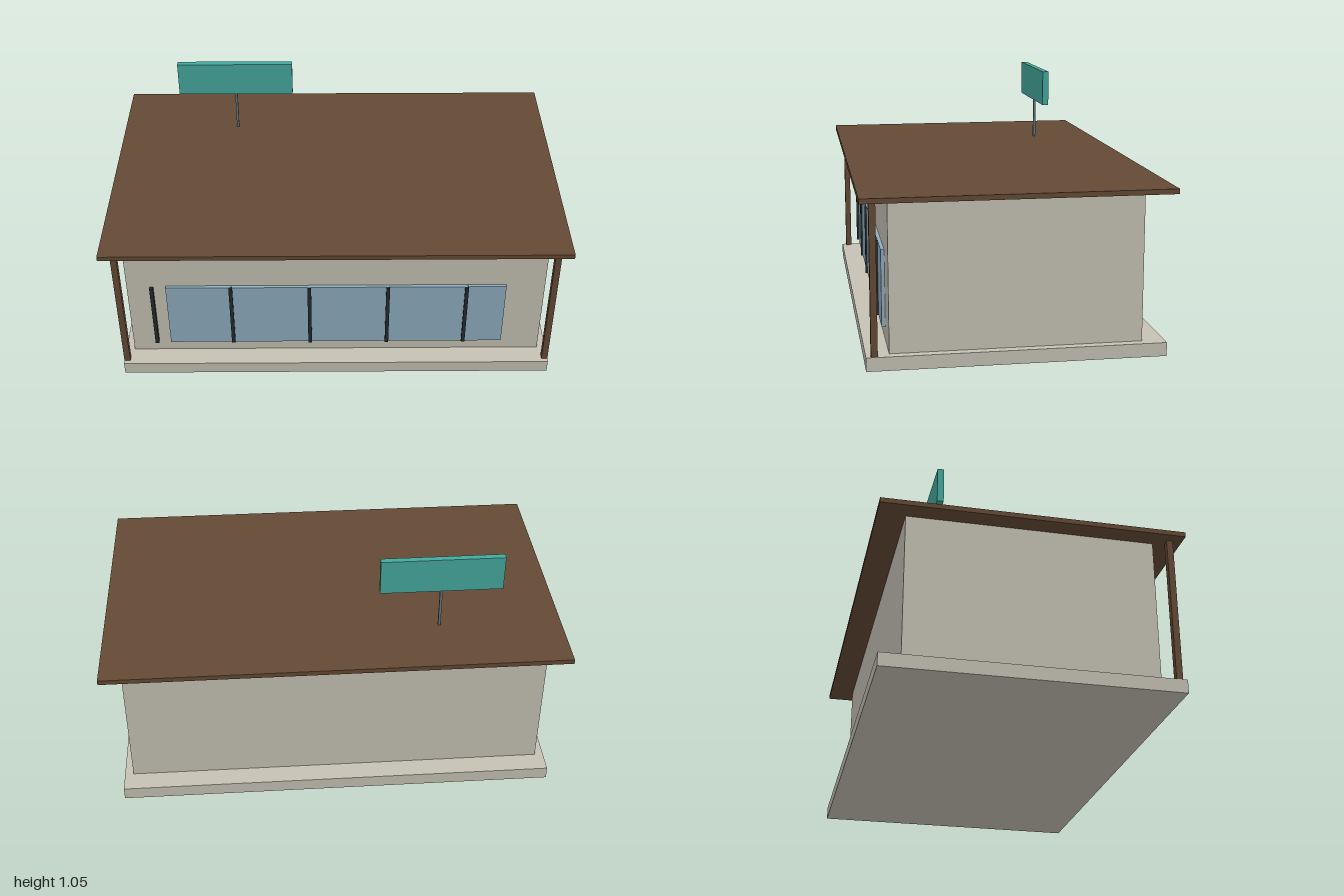
import * as THREE from 'three';

const paint = (name, color) => {
  const m = new THREE.MeshStandardMaterial({ color });
  m.name = name;
  return m;
};

export function createModel() {
  const plaster = paint('plaster', 0xc5c1b4);
  const timber = paint('brown timber', 0x654a35);
  const glass = paint('blue glass', 0x8eacbe);
  const frame = paint('dark frame', 0x232b2d);
  const teal = paint('teal sign', 0x45a99e);
  const steel = paint('grey steel', 0x66757f);

  const model = new THREE.Group();
  model.name = 'shopBuilding';

  // Box given by its size, centre x and z, and underside height
  const box = (name, material, w, h, d, x, y, z) => {
    const mesh = new THREE.Mesh(new THREE.BoxGeometry(w, h, d), material);
    mesh.name = name;
    mesh.position.set(x, y + h / 2, z);
    model.add(mesh);
  };

  // Main building
  box('plinth', plaster, 1.91, 0.057, 1.22, 0, 0, 0);
  box('walls', plaster, 1.834, 0.623, 1.032, 0, 0.057, 0);
  box('roof', timber, 2, 0.021, 1.26, 0, 0.68, 0);

  // Front porch posts
  for (const side of [-1, 1]) {
    box(side > 0 ? 'leftPost' : 'rightPost', timber, 0.027, 0.623, 0.027, side * 0.942, 0.057, 0.577);
  }

  // Shop window with evenly spaced mullions
  box('shopWindow', glass, 1.492, 0.324, 0.02, 0, 0.115, 0.521);
  for (let i = 0; i < 5; i++) {
    box('mullion', frame, 0.016, 0.324, 0.016, -0.807 + i * 0.345, 0.115, 0.531);
  }

  // Roof sign
  box('signPole', steel, 0.011, 0.19, 0.011, -0.463, 0.7, -0.344);
  box('signBoard', teal, 0.531, 0.16, 0.028, -0.463, 0.89, -0.344);

  return model;
}
